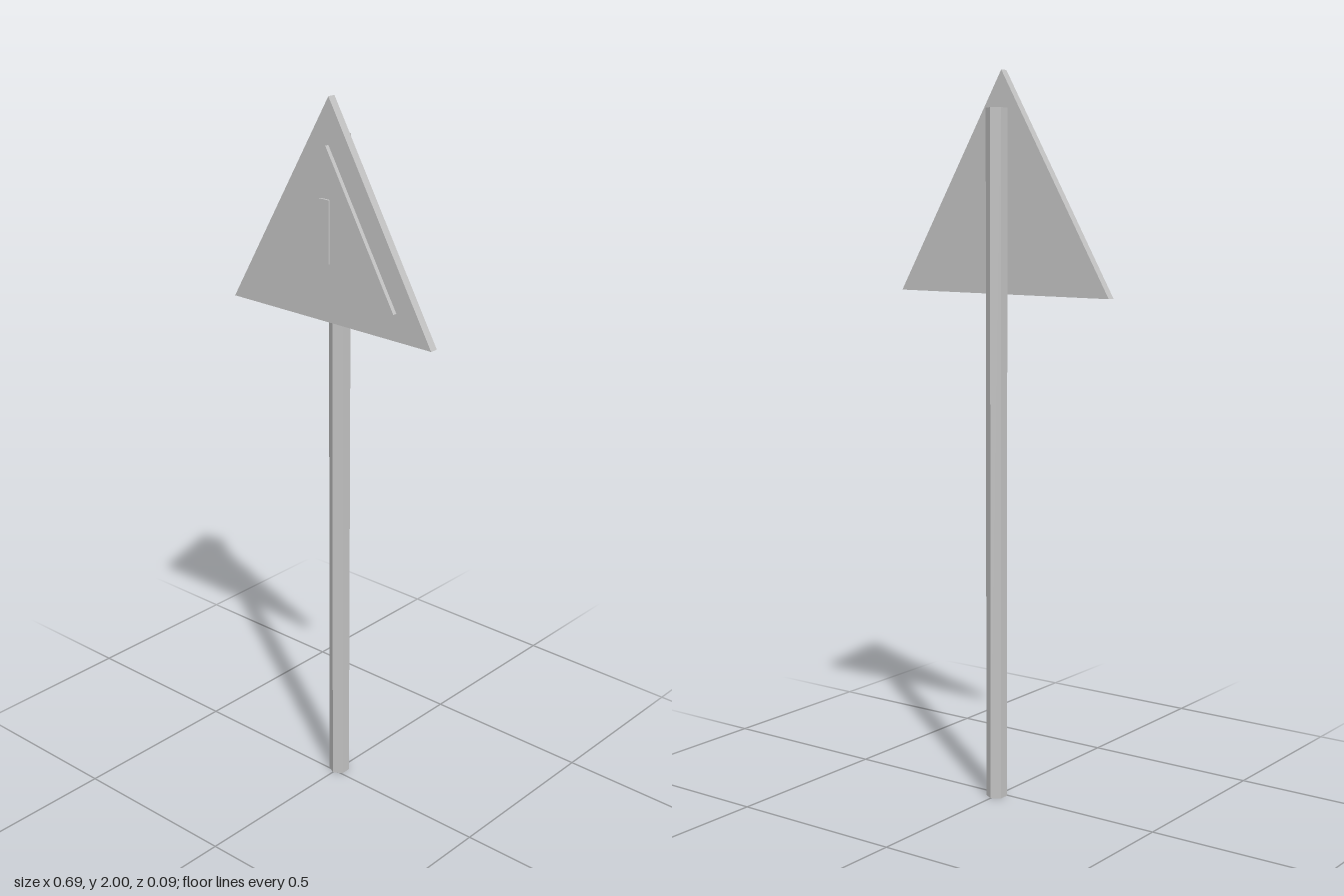
import * as THREE from 'three';

export function createModel() {
  const model = new THREE.Group();
  const grey = new THREE.MeshStandardMaterial({ color: 0xc4c4c4, flatShading: true });
  grey.name = 'grey';

  function add(name, geometry, x, y, z) {
    const mesh = new THREE.Mesh(geometry, grey);
    mesh.name = name;
    mesh.position.set(x, y, z);
    model.add(mesh);
  }

  // Upright triangular plate, base on y = 0 and back on z = 0
  function trianglePlate(halfWidth, height, depth) {
    const shape = new THREE.Shape();
    shape.moveTo(-halfWidth, 0);
    shape.lineTo(halfWidth, 0);
    shape.lineTo(0, height);
    shape.closePath();
    return new THREE.ExtrudeGeometry(shape, { depth, bevelEnabled: false });
  }

  // Hexagonal pole, one corner facing the sign
  add('pole', new THREE.CylinderGeometry(0.029, 0.029, 1.9, 6), 0, 0.95, -0.018);

  // Sign board with a smaller raised panel
  add('signBoard', trianglePlate(0.345, 0.595, 0.023), 0, 1.405, 0.003);
  add('innerPanel', trianglePlate(0.23, 0.397, 0.012), 0, 1.48, 0.026);

  // Thin raised rim of the upright mark, open at the front
  const rim = new THREE.CylinderGeometry(Math.SQRT1_2, Math.SQRT1_2, 1, 4, 1, true, Math.PI / 4);
  rim.rotateX(Math.PI / 2).scale(0.032, 0.17, 0.006);
  add('markRim', rim, 0, 1.655, 0.041);

  return model;
}
